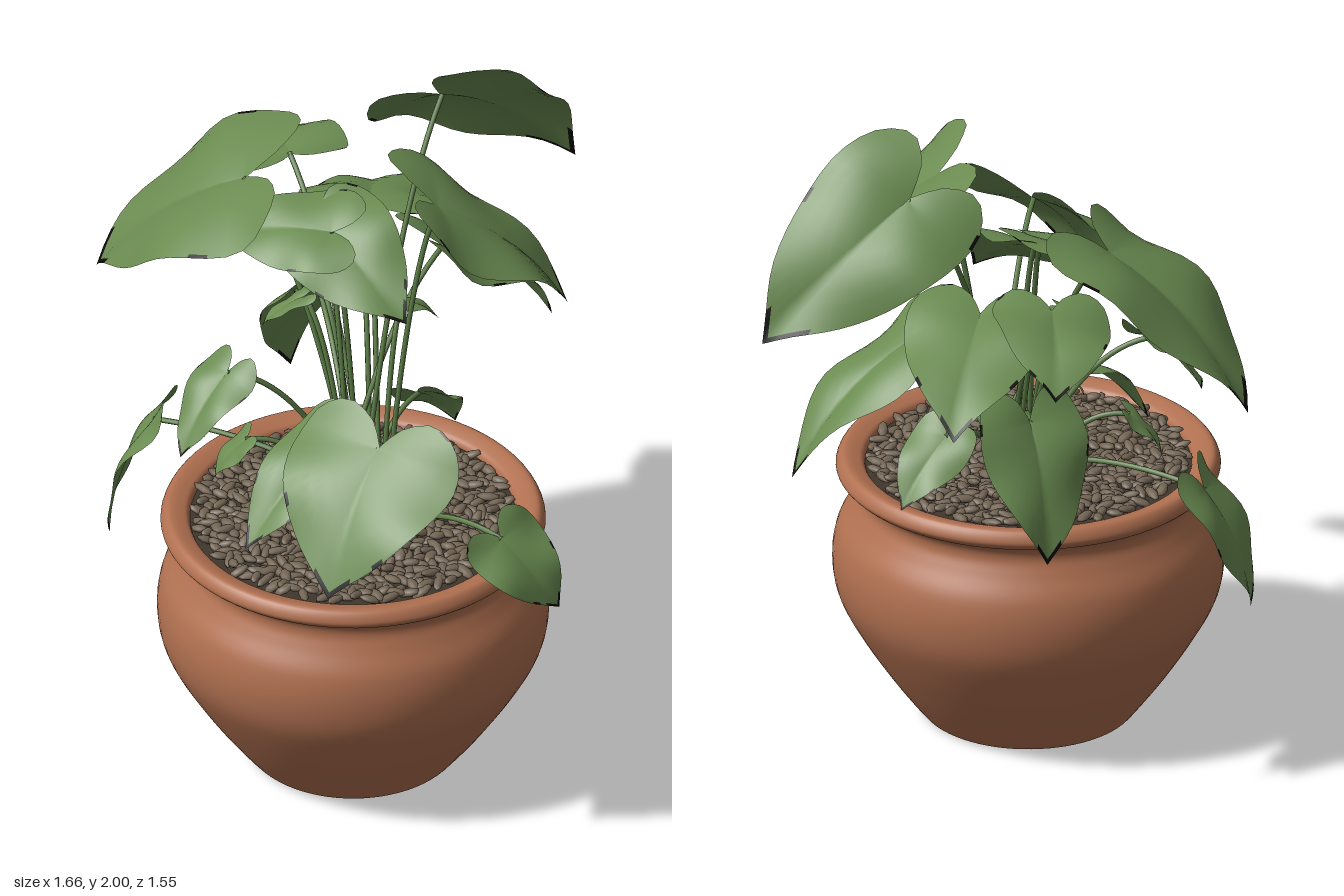
import * as THREE from 'three';
import { mergeGeometries } from 'three/addons/utils/BufferGeometryUtils.js';

const V = (x, y, z) => new THREE.Vector3(x, y, z);
const material = (name, color, extra = {}) =>
  Object.assign(new THREE.MeshStandardMaterial({ color, ...extra }), { name });

function seeded(seed) {
  return () => {
    seed = (seed * 16807) % 2147483647;
    return seed / 2147483647;
  };
}

// Half outline of a heart-shaped leaf, from the notch at the stem to the tip
const halfLeaf = new THREE.CatmullRomCurve3([
  [0, -0.02], [0.1, -0.17], [0.28, -0.25], [0.45, -0.14], [0.51, 0.08],
  [0.45, 0.38], [0.29, 0.68], [0.09, 0.9], [0, 1],
].map(([x, y]) => V(x, y, 0))).getSpacedPoints(22);
const outline = [
  ...halfLeaf,
  ...halfLeaf.slice(0, -1).reverse().map((p) => V(-p.x, p.y, 0)),
];

// Leaf blade: rings shrinking towards the stem joint, arched and creased along the midrib.
// It lies level across its slope, then rolls about the midrib.
function leafGeometry(base, tip, ratio, roll, phase) {
  const rings = 8, cells = outline.length - 1;
  const g = new THREE.PlaneGeometry(1, 1, cells, rings);
  const Y = tip.clone().sub(base);
  const length = Y.length();
  Y.normalize();
  const X = V(-Y.z, 0, Y.x).normalize();
  X.addScaledVector(X.clone().cross(Y), Math.tan(roll)).normalize();
  const Z = X.clone().cross(Y);
  const pos = g.attributes.position;
  for (let i = 0; i < pos.count; i++) {
    const o = outline[i % outline.length];
    const ring = Math.floor(i / outline.length);
    const r = ring ? 0.96 * (rings - ring) / (rings - 1) : 1;
    const x = o.x * r, y = o.y * r;
    const arch = 0.32 * y * (1 - y) * (y < 0 ? 0.5 : 1);
    const fold = 0.22 * Math.abs(x) - 0.55 * x * x;
    const wave = 0.09 * Math.abs(x) * Math.sin(8 * y + phase + (x > 0 ? 1.5 : 0));
    const p = base.clone()
      .addScaledVector(X, x * ratio * length)
      .addScaledVector(Y, y * length)
      .addScaledVector(Z, (arch + fold + wave) * length);
    pos.setXYZ(i, p.x, p.y, p.z);
  }
  g.computeVertexNormals();
  // Withered margin: the tip and a few spots of the outer ring use the second material
  for (let c = 0; c < cells; c++) {
    const dry = Math.abs(c - (cells - 1) / 2) < 2 || (c + Math.floor(phase * 3)) % 12 === 0;
    g.addGroup(c * 6, 6, dry ? 1 : 0);
  }
  g.addGroup(cells * 6, cells * (rings - 1) * 6, 0);
  return g;
}

// Each leaf: stem joint, tip, and where needed width to length ratio and roll
const leaves = [
  ['topBackLeaf', [-0.2, 1.84, -0.32], [-0.17, 1.47, -0.77], 0.8, 0.79],
  ['upperBackLeaf', [0.12, 1.73, -0.07], [0.27, 1.34, -0.42], 0.98],
  ['frontLeftLeaf', [0.57, 1.35, 0.47], [0.68, 1, 0.73], 1.15],
  ['frontRightLeaf', [-0.42, 1.65, 0.22], [-0.79, 1.25, 0.47], 0.97, 0.22],
  ['backRightLeaf', [-0.3, 1.48, -0.14], [-0.63, 1.27, -0.39]],
  ['lowerBackLeaf', [-0.14, 1.37, -0.28], [-0.12, 1, -0.65], 0.6],
  ['outerRightLeaf', [-0.54, 1.57, -0.03], [-0.82, 1.43, -0.16], 1, 0.19],
  ['centreLeaf', [-0.16, 1.58, 0.12], [0.16, 1.4, 0.07], 0.9, -0.5],
  ['centreFrontLeaf', [-0.12, 1.59, 0.13], [-0.4, 1.5, 0.32], 0.85, 0.4],
  ['lowFrontLeaf', [0.13, 1.08, 0.31], [0.12, 0.82, 0.61], 0.66, 0.25],
  ['middleFrontLeaf', [-0.16, 1.22, 0.47], [-0.14, 1.01, 0.65], 0.7],
  ['smallFrontLeaf', [0.33, 0.95, 0.4], [0.31, 0.83, 0.5]],
  ['tinyFrontLeaf', [-0.14, 0.98, 0.42], [-0.18, 0.86, 0.5]],
  ['rimLeftLeaf', [0.62, 0.91, 0.07], [0.72, 0.68, -0.06], 0.8, -1],
  ['hangingRightLeaf', [-0.5, 0.88, 0.48], [-0.55, 0.51, 0.6], 0.55, -0.46],
  ['sideRightLeaf', [-0.44, 1.18, -0.05], [-0.59, 0.8, -0.07], 0.82, 0.2],
  ['lowBackLeaf', [-0.04, 0.98, -0.12], [-0.08, 0.8, -0.28], 0.8, 0.39],
];

export function createModel() {
  const model = new THREE.Group();
  const clay = material('terracotta', 0xb07050, { side: THREE.DoubleSide });
  const stone = material('pebble brown', 0x736554);
  const soilDark = material('dark soil', 0x40362c);
  const green = material('leaf green', 0x6a8b51, { side: THREE.DoubleSide });
  const withered = material('withered edge', 0x0c0a08, { side: THREE.DoubleSide });
  const stemGreen = material('stem green', 0x5c7c46);
  const random = seeded(77);

  const add = (parent, name, geometry, mat) => {
    const mesh = new THREE.Mesh(geometry, mat);
    mesh.name = name;
    parent.add(mesh);
    return mesh;
  };
  const group = (name) => {
    const g = new THREE.Group();
    g.name = name;
    model.add(g);
    return g;
  };

  // Pot with rolled rim and a shallow dish underneath
  const pot = group('pot');
  pot.position.set(0.107, 0, 0.22);
  const wall = new THREE.SplineCurve([
    [0.298, 0], [0.318, 0.02], [0.4, 0.13], [0.49, 0.27], [0.545, 0.38], [0.56, 0.48],
    [0.546, 0.57], [0.508, 0.64], [0.488, 0.685], [0.497, 0.72], [0.535, 0.745],
    [0.55, 0.768], [0.53, 0.8], [0.49, 0.793], [0.468, 0.775], [0.46, 0.72],
  ].map((p) => new THREE.Vector2(...p))).getPoints(80);
  add(pot, 'potWall', new THREE.LatheGeometry(wall, 72), clay);
  const foot = [[0, 0.025], [0.24, 0.025], [0.28, 0], [0.298, 0]];
  add(pot, 'potBase', new THREE.LatheGeometry(foot.map((p) => new THREE.Vector2(...p)), 72), clay);

  // Soil covered with elongated chips
  const soil = add(pot, 'soil', new THREE.CircleGeometry(0.467, 64).rotateX(-Math.PI / 2), soilDark);
  soil.position.y = 0.768;
  const chip = new THREE.SphereGeometry(1, 7, 5);
  const chips = [];
  const count = 700;
  for (let i = 0; i < count; i++) {
    const r = 0.45 * Math.sqrt((i + 0.5) / count), a = i * 2.39996;
    const turn = new THREE.Euler((random() - 0.5) * 0.5, random() * Math.PI, (random() - 0.5) * 0.6);
    const m = new THREE.Matrix4().compose(
      V(r * Math.cos(a), 0.774 + random() * 0.02, r * Math.sin(a)),
      new THREE.Quaternion().setFromEuler(turn),
      V(0.026 + random() * 0.012, 0.011, 0.013 + random() * 0.005));
    chips.push(chip.clone().applyMatrix4(m));
  }
  add(pot, 'pebbles', mergeGeometries(chips), stone);

  // Leaf on an arching stem that rises from the soil
  const plantLeaf = (name, root, base, tip, ratio, roll, phase) => {
    const plant = group(name);
    add(plant, 'blade', leafGeometry(base, tip, ratio, roll, phase), [green, withered]);
    const bend = root.clone().lerp(base, 0.42);
    bend.y = THREE.MathUtils.lerp(root.y, base.y, 0.72) + 0.08;
    const curve = new THREE.QuadraticBezierCurve3(root, bend, base);
    add(plant, 'stem', new THREE.TubeGeometry(curve, 20, 0.008, 7), stemGreen);
  };

  leaves.forEach(([name, joint, end, ratio = 0.88, roll = 0], i) => {
    const base = V(...joint);
    const root = base.x > 0.3
      ? V(0.22, 0.77, 0.18)
      : V(0.05 + (random() - 0.5) * 0.14, 0.77, 0.14 + (random() - 0.5) * 0.12);
    plantLeaf(name, root, base, V(...end), ratio, roll, i * 1.7);
  });

  // Small young leaves in the middle of the plant
  for (let i = 0; i < 4; i++) {
    const a = 2.2 + i * 0.9, dx = Math.cos(a), dz = Math.sin(a);
    const y = 1.25 + 0.12 * random();
    plantLeaf('youngLeaf', V(0.05 + 0.05 * dx, 0.77, 0.13 + 0.05 * dz),
      V(-0.07 + 0.16 * dx, y, 0.08 + 0.14 * dz),
      V(-0.07 + 0.28 * dx, y - 0.1, 0.08 + 0.26 * dz), 0.6, 0, i);
  }
  return model;
}
